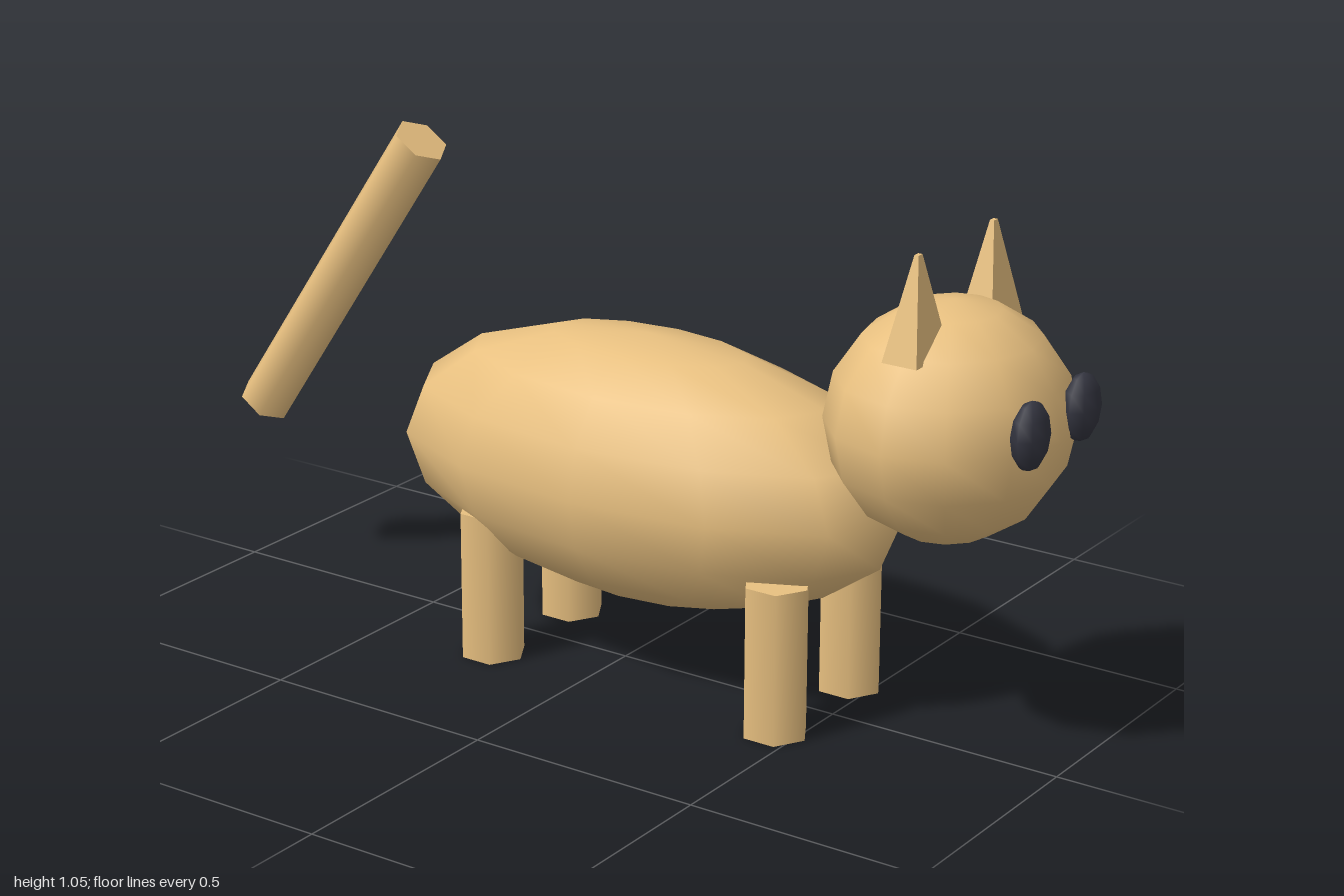
import * as THREE from 'three';

const fur = new THREE.MeshStandardMaterial({ color: 0xe8c080 });
const furFlat = new THREE.MeshStandardMaterial({ color: 0xe8c080, flatShading: true });
const dark = new THREE.MeshStandardMaterial({ color: 0x33343f });

export function createModel() {
  const model = new THREE.Group();

  const add = (name, geometry, material, x, y, z) => {
    const mesh = new THREE.Mesh(geometry, material);
    mesh.name = name;
    mesh.position.set(x, y, z);
    model.add(mesh);
    return mesh;
  };
  const ellipsoid = (rx, ry, rz, w, h) => new THREE.SphereGeometry(1, w, h).scale(rx, ry, rz);

  // Body and head
  add('body', ellipsoid(0.273, 0.274, 0.588, 12, 8), fur, 0, 0.435, 0.056);
  add('head', ellipsoid(0.254, 0.235, 0.235, 12, 8), fur, 0, 0.67, 0.744);

  // Tail: a straight hexagonal rod leaning forward, detached from the body
  const tail = add('tail', new THREE.CylinderGeometry(0.0585, 0.0585, 0.785, 6), fur, 0, 0.69, -0.729);
  tail.rotation.x = 0.6;

  // Shared shapes of the mirrored parts
  const leg = new THREE.CylinderGeometry(0.0685, 0.0685, 0.315, 6);
  const eye = ellipsoid(0.05, 0.068, 0.033, 8, 6);
  // Ear: four-sided spike, wider than deep
  const ear = new THREE.CylinderGeometry(0.12, 1, 0.198, 4)
    .rotateY(Math.PI / 4)
    .scale(0.059 * Math.SQRT2, 1, 0.037 * Math.SQRT2);

  for (const [side, s] of [['left', 1], ['right', -1]]) {
    add(side + 'FrontLeg', leg, fur, s * 0.1375, 0.1575, 0.453);
    add(side + 'BackLeg', leg, fur, s * 0.1375, 0.1575, -0.235);
    add(side + 'Ear', ear, furFlat, s * 0.138, 0.926, 0.745);
    add(side + 'Eye', eye, dark, s * 0.098, 0.71, 0.967);
  }
  return model;
}
